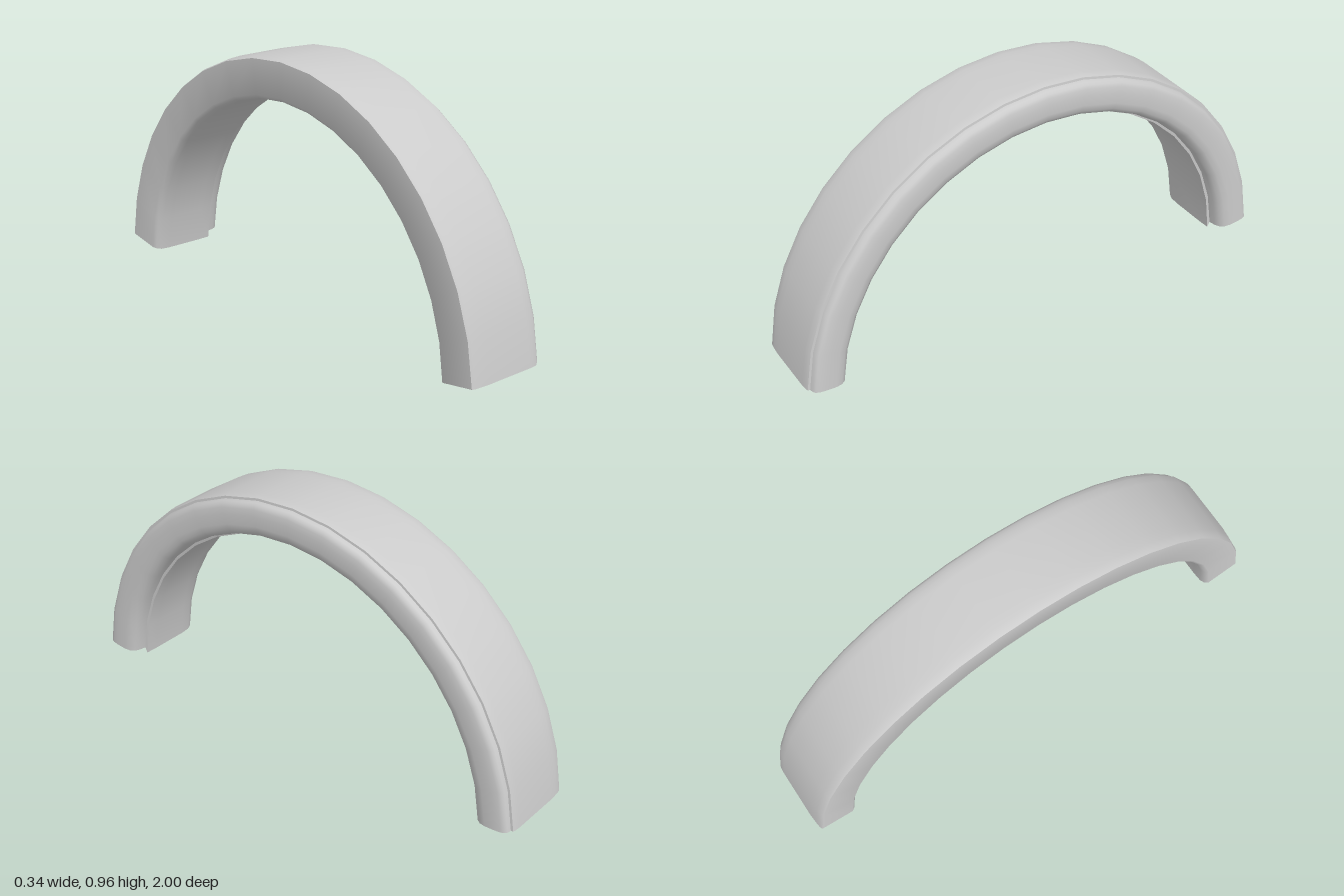
import * as THREE from 'three';
import { toCreasedNormals } from 'three/addons/utils/BufferGeometryUtils.js';

const CENTRE_Y = -0.0377;
const SEGMENTS = 18;

// Cross-section of the arch: [x, radius, angle in degrees at which the ends are cut]
const PROFILE = [
  // outer face with softly rounded edges
  [-0.170, 0.992, 4.2], [-0.160, 0.997, 4.2], [-0.135, 1.000, 4.2], [-0.100, 1.0027, 4.2],
  [0.100, 1.0027, 4.2], [0.125, 1.001, 4.2], [0.136, 0.998, 4.2],
  // small step down to the rounded lip
  [0.137, 0.989, 4.2], [0.152, 0.986, 4.2], [0.161, 0.979, 4.2], [0.166, 0.965, 4.2],
  [0.168, 0.940, 4.2], [0.168, 0.900, 4.2], [0.163, 0.876, 4.2], [0.150, 0.859, 4.2],
  [0.130, 0.850, 4.2], [0.102, 0.847, 4.1],
  // step to the inner face, then the bevel back to the flat side
  [0.100, 0.837, 2.6], [0.050, 0.835, 2.6], [-0.100, 0.835, 2.6], [-0.140, 0.837, 2.7],
  [-0.160, 0.844, 3.0], [-0.170, 0.857, 3.3],
];

// Sweep the closed section round the arch; the ends stay open
function sweepArch(profile) {
  const positions = [];
  const index = [];
  const n = profile.length;
  for (let i = 0; i <= SEGMENTS; i++) {
    for (const [x, r, cut] of profile) {
      const start = THREE.MathUtils.degToRad(cut);
      const a = start + (Math.PI - 2 * start) * (i / SEGMENTS);
      positions.push(x, CENTRE_Y + r * Math.sin(a), r * Math.cos(a));
    }
  }
  for (let i = 0; i < SEGMENTS; i++) {
    for (let j = 0; j < n; j++) {
      const k = (j + 1) % n;
      const a = i * n + j, b = i * n + k;
      index.push(a, b, a + n, b, b + n, a + n);
    }
  }
  const geometry = new THREE.BufferGeometry();
  geometry.setAttribute('position', new THREE.Float32BufferAttribute(positions, 3));
  geometry.setIndex(index);
  return toCreasedNormals(geometry, THREE.MathUtils.degToRad(50));
}

export function createModel() {
  const group = new THREE.Group();
  group.name = 'archedFender';
  const material = new THREE.MeshStandardMaterial({ color: 0xcccccc, side: THREE.DoubleSide });
  const arch = new THREE.Mesh(sweepArch(PROFILE), material);
  arch.name = 'archShell';
  group.add(arch);
  return group;
}
